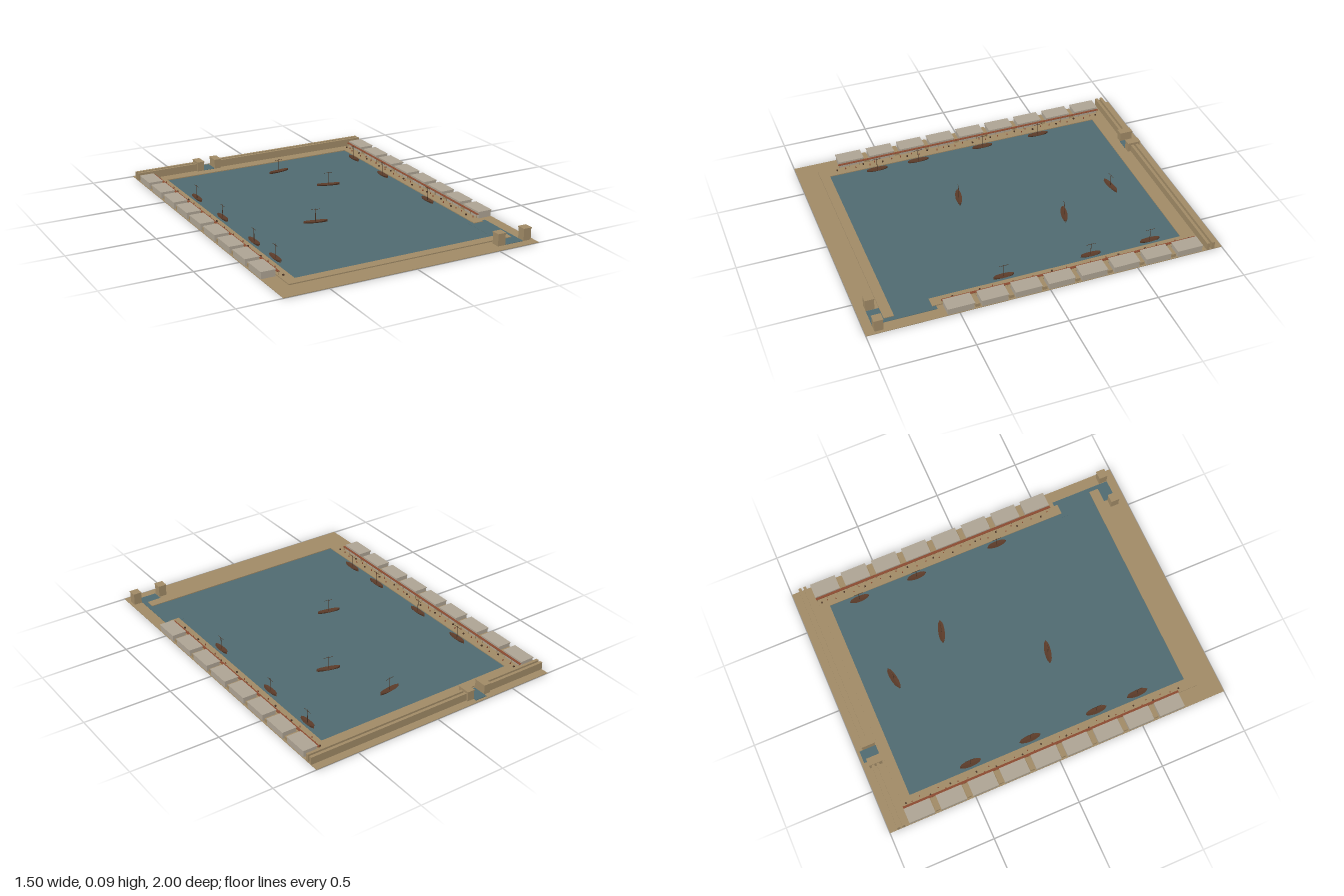
import * as THREE from 'three';

const mat = (color, side = THREE.FrontSide) => new THREE.MeshStandardMaterial({ color, flatShading: true, side });
const SAND = mat(0xa08a66), STONE = mat(0xada393), WATER = mat(0x4f6a70);
const RED = mat(0x8a4a30), WOOD = mat(0x5a3a28, THREE.DoubleSide), DARK = mat(0x4a3426);

function add(parent, name, geo, material, x = 0, y = 0, z = 0) {
  const m = new THREE.Mesh(geo, material);
  m.name = name;
  m.position.set(x, y, z);
  parent.add(m);
  return m;
}

// box given by its min/max extents
function block(parent, name, material, x0, x1, y0, y1, z0, z1) {
  return add(parent, name, new THREE.BoxGeometry(x1 - x0, y1 - y0, z1 - z0), material,
    (x0 + x1) / 2, (y0 + y1) / 2, (z0 + z1) / 2);
}

// square tower with a slightly wider cap
function tower(parent, x0, x1, h, z0, z1) {
  const g = new THREE.Group();
  g.name = 'gateTower';
  block(g, 'towerBody', SAND, x0 + 0.002, x1 - 0.002, 0, h - 0.006, z0 + 0.002, z1 - 0.002);
  block(g, 'towerCap', SAND, x0, x1, h - 0.006, h, z0, z1);
  parent.add(g);
}

// hull from tapered cross-sections along z, with raised ends
function hullGeometry(length, width) {
  const pos = [], idx = [], n = 10;
  for (let i = 0; i <= n; i++) {
    const t = (i / n) * 2 - 1;
    const w = (width / 2) * Math.sqrt(Math.max(0.004, 1 - t * t));
    const rim = 0.009 + 0.004 * t * t, z = (t * length) / 2;
    pos.push(-w, rim, z, -w * 0.55, 0.001, z, w * 0.55, 0.001, z, w, rim, z, 0, rim - 0.003, z);
  }
  for (let i = 0; i < n; i++) {
    for (let k = 0; k < 5; k++) {
      const a = i * 5 + k, b = i * 5 + ((k + 1) % 5);
      idx.push(a, b, a + 5, b, b + 5, a + 5);
    }
  }
  const g = new THREE.BufferGeometry();
  g.setAttribute('position', new THREE.Float32BufferAttribute(pos, 3));
  g.setIndex(idx);
  g.computeVertexNormals();
  return g;
}

function boat(parent, x, z, length, turn) {
  const g = new THREE.Group();
  g.name = 'boat';
  add(g, 'hull', hullGeometry(length, 0.037), WOOD);
  add(g, 'mast', new THREE.CylinderGeometry(0.0014, 0.0018, 0.077, 6), DARK, 0, 0.044, 0);
  const yard = add(g, 'yard', new THREE.CylinderGeometry(0.0012, 0.0012, 0.052, 6), DARK, 0, 0.077, 0);
  yard.rotation.x = Math.PI / 2;
  g.position.set(x, 0.003, z);
  g.rotation.y = turn;
  parent.add(g);
}

// warehouses, portico and cargo along one side
function quayside(parent, s, count, endZ) {
  const g = new THREE.Group();
  g.name = s > 0 ? 'leftQuayside' : 'rightQuayside';
  const span = (name, m, a, b, y0, y1, z0, z1) =>
    block(g, name, m, Math.min(s * a, s * b), Math.max(s * a, s * b), y0, y1, z0, z1);
  const first = -0.81, pitch = 0.186;
  for (let i = 0; i < count; i++) {
    const z = first + i * pitch;
    span('warehouse', STONE, 0.668, 0.747, 0.003, 0.037, z - 0.072, z + 0.072);
    span('warehouseRoof', STONE, 0.665, 0.75, 0.037, 0.042, z - 0.075, z + 0.075);
    if (i < count - 1) span('yardWall', SAND, 0.67, 0.74, 0.003, 0.022, z + 0.08, z + 0.106);
  }
  // portico on small columns
  span('porticoRoof', RED, 0.65, 0.664, 0.029, 0.032, -0.885, endZ);
  const columns = Math.round((endZ + 0.885) / 0.06);
  for (let i = 0; i <= columns; i++) {
    const z = -0.88 + ((endZ + 0.875) * i) / columns;
    add(g, 'porticoColumn', new THREE.CylinderGeometry(0.002, 0.002, 0.02, 6), SAND, s * 0.653, 0.019, z);
  }
  // jars and crates
  const items = Math.round((endZ + 0.885) / 0.045);
  for (let i = 0; i < items; i++) {
    const z = -0.86 + i * 0.045 + 0.012 * Math.sin(i * 5.1);
    const x = s * (0.634 + 0.01 * Math.sin(i * 2.7));
    if (i % 3) add(g, 'jar', new THREE.CylinderGeometry(0.0025, 0.0035, 0.009, 6), RED, x, 0.0135, z);
    else add(g, 'crate', new THREE.BoxGeometry(0.008, 0.007, 0.008), DARK, x, 0.0125, z);
  }
  parent.add(g);
}

export function createModel() {
  const model = new THREE.Group();
  model.name = 'harbour';

  // ground frame around the basin
  const X = 0.6, Z = 0.825;
  const outline = new THREE.Shape([[-0.75, -1], [0.75, -1], [0.75, 1], [-0.75, 1]].map(p => new THREE.Vector2(...p)));
  outline.holes.push(new THREE.Path([[-X, -Z], [-X, Z], [X, Z], [X, -Z]].map(p => new THREE.Vector2(...p))));
  const ground = new THREE.ExtrudeGeometry(outline, { depth: 0.003, bevelEnabled: false }).rotateX(-Math.PI / 2);
  add(model, 'ground', ground, SAND);
  block(model, 'basinWater', WATER, -X, X, 0.001, 0.004, -Z, Z);

  // quays, open at the front left corner for the entrance
  block(model, 'quayBack', SAND, -0.66, 0.66, 0.001, 0.009, -0.88, -Z);
  block(model, 'quayFront', SAND, -0.66, 0.66, 0.001, 0.009, Z, 0.88);
  block(model, 'quayRight', SAND, -0.66, -X, 0.001, 0.009, -Z, Z);
  block(model, 'quayLeft', SAND, X, 0.66, 0.001, 0.009, -Z, 0.62);

  // entrance channel with its pair of towers
  block(model, 'entranceChannel', WATER, 0.574, 0.685, 0.001, 0.005, 0.6, 0.95);
  tower(model, 0.523, 0.573, 0.072, 0.9, 0.952);
  tower(model, 0.686, 0.736, 0.072, 0.9, 0.952);

  // double back wall with a water gate
  for (const [x0, x1] of [[-0.75, -0.35], [-0.25, 0.75]]) {
    block(model, 'outerWall', SAND, x0, x1, 0, 0.046, -0.955, -0.938);
    block(model, 'innerWall', SAND, x0, x1, 0, 0.046, -0.926, -0.91);
  }
  block(model, 'gateChannel', WATER, -0.335, -0.265, 0.001, 0.006, -0.985, -0.89);
  tower(model, -0.377, -0.333, 0.061, -0.968, -0.89);
  tower(model, -0.267, -0.222, 0.061, -0.968, -0.89);

  quayside(model, -1, 9, 0.76);
  quayside(model, 1, 8, 0.57);

  // moored boats, then boats under way
  for (const z of [-0.455, -0.1, 0.3, 0.55]) boat(model, -0.57, z, 0.125, 0);
  for (const z of [-0.655, -0.305, 0.195]) boat(model, 0.57, z, 0.115, 0);
  boat(model, 0.05, -0.655, 0.135, Math.PI / 2 + 0.15);
  boat(model, 0.2, -0.305, 0.135, Math.PI / 2 - 0.27);
  boat(model, -0.15, 0.195, 0.135, Math.PI / 2 - 0.22);
  return model;
}
